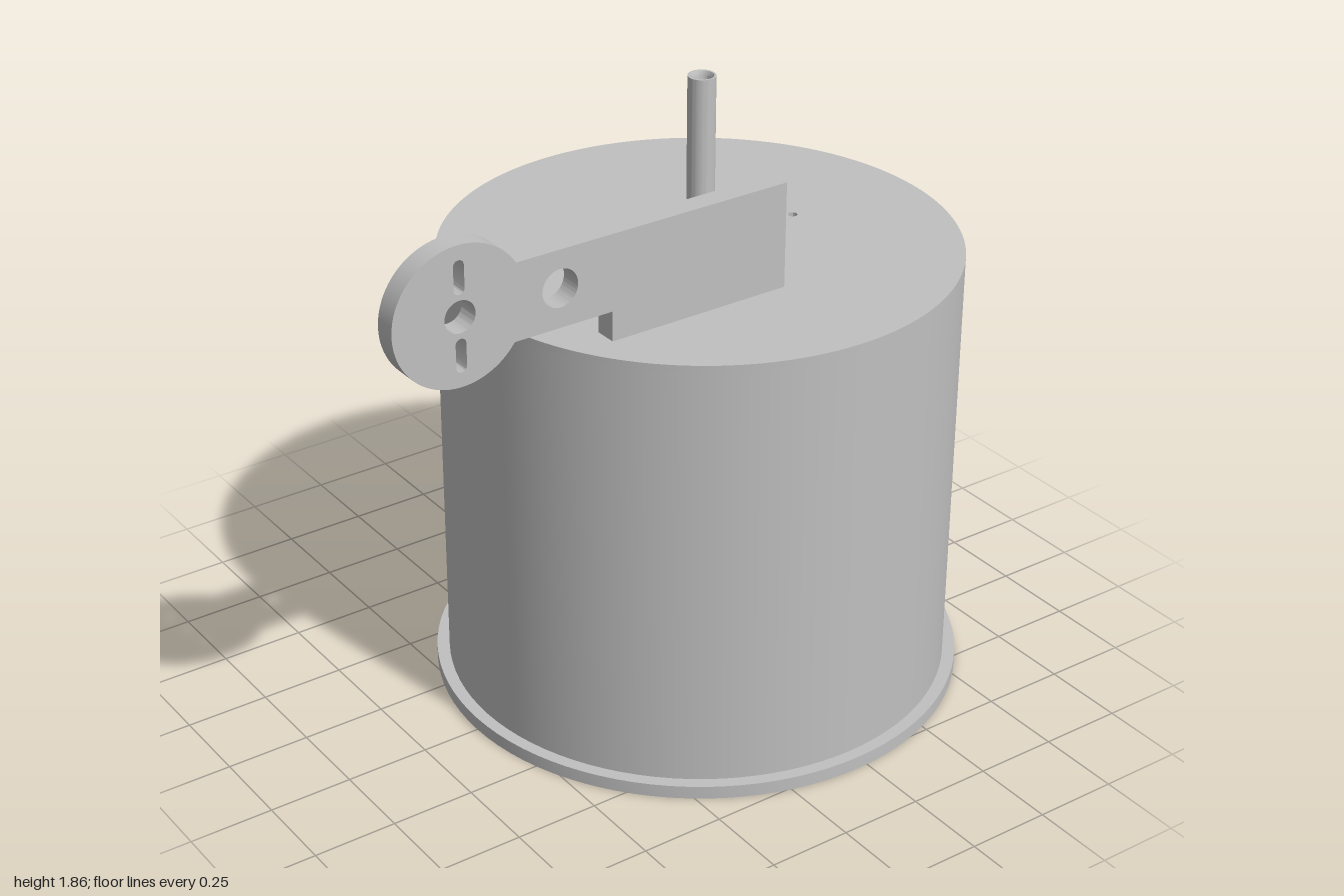
import * as THREE from 'three';
import { toCreasedNormals } from 'three/addons/utils/BufferGeometryUtils.js';

const CX = 0.213; // axis of the drum
const TOP = 1.355; // upper face of the lid
const LID = 0.02;

export function createModel() {
  const group = new THREE.Group();
  const grey = new THREE.MeshStandardMaterial({ color: 0xc0c0c0 });
  grey.name = 'light grey';

  const add = (name, geometry, x, y, z) => {
    const mesh = new THREE.Mesh(toCreasedNormals(geometry, 0.5), grey);
    mesh.name = name;
    mesh.position.set(x, y, z);
    group.add(mesh);
  };
  // closed ring profile, counter-clockwise in (radius, height)
  const turned = (points, segments) =>
    new THREE.LatheGeometry([...points, points[0]].map(([r, y]) => new THREE.Vector2(r, y)), segments);
  const circle = (x, y, r) => new THREE.Path().absarc(x, y, r, 0, Math.PI * 2, true);
  const extrude = (shape, depth, curveSegments) =>
    new THREE.ExtrudeGeometry(shape, { depth, bevelEnabled: false, curveSegments });

  // hollow drum wall with a flange at the foot
  add('drumWall', turned([
    [0.733, 0], [0.785, 0], [0.785, 0.04], [0.748, 0.04], [0.748, TOP - LID], [0.733, TOP - LID],
  ], 96), CX, 0, 0);

  // lid with the shaft bore and a small vent hole
  const lid = new THREE.Shape().absarc(0, 0, 0.748, 0, Math.PI * 2, false);
  lid.holes.push(circle(0, 0, 0.028), circle(0.33, 0, 0.014));
  add('lid', extrude(lid, LID, 96).rotateX(-Math.PI / 2), CX, TOP - LID, 0);

  // collar and hollow shaft
  add('collar', turned([[0.04, TOP], [0.079, TOP], [0.079, 1.463], [0.04, 1.463]], 48), CX, 0, 0);
  add('shaftTube', turned([
    [0.028, TOP], [0.04, TOP], [0.04, 1.862], [0.034, 1.862], [0.028, 1.85],
  ], 40), CX, 0, 0);

  // side arm: stepped bar ending in a round head
  const hx = -0.8, hy = 1.562, hr = 0.2, barTop = 1.667, barLow = 1.443;
  const arm = new THREE.Shape();
  arm.moveTo(-0.335, TOP);
  arm.lineTo(0.235, TOP);
  arm.lineTo(0.235, barTop);
  arm.absarc(hx, hy, hr, Math.asin((barTop - hy) / hr), Math.PI * 2 + Math.asin((barLow - hy) / hr), false);
  arm.lineTo(-0.335, barLow);
  arm.closePath();

  // round holes and the two slots of the head
  arm.holes.push(circle(hx, hy, 0.046), circle(-0.497, 1.557, 0.055));
  for (const side of [-1, 1]) {
    const y = hy + side * 0.11, w = 0.016, h = 0.032;
    const slot = new THREE.Path();
    slot.absarc(hx, y + h, w, Math.PI, 0, true);
    slot.absarc(hx, y - h, w, 0, -Math.PI, true);
    slot.closePath();
    arm.holes.push(slot);
  }
  add('sideArm', extrude(arm, 0.066, 32), 0, 0, 0.295);

  return group;
}
